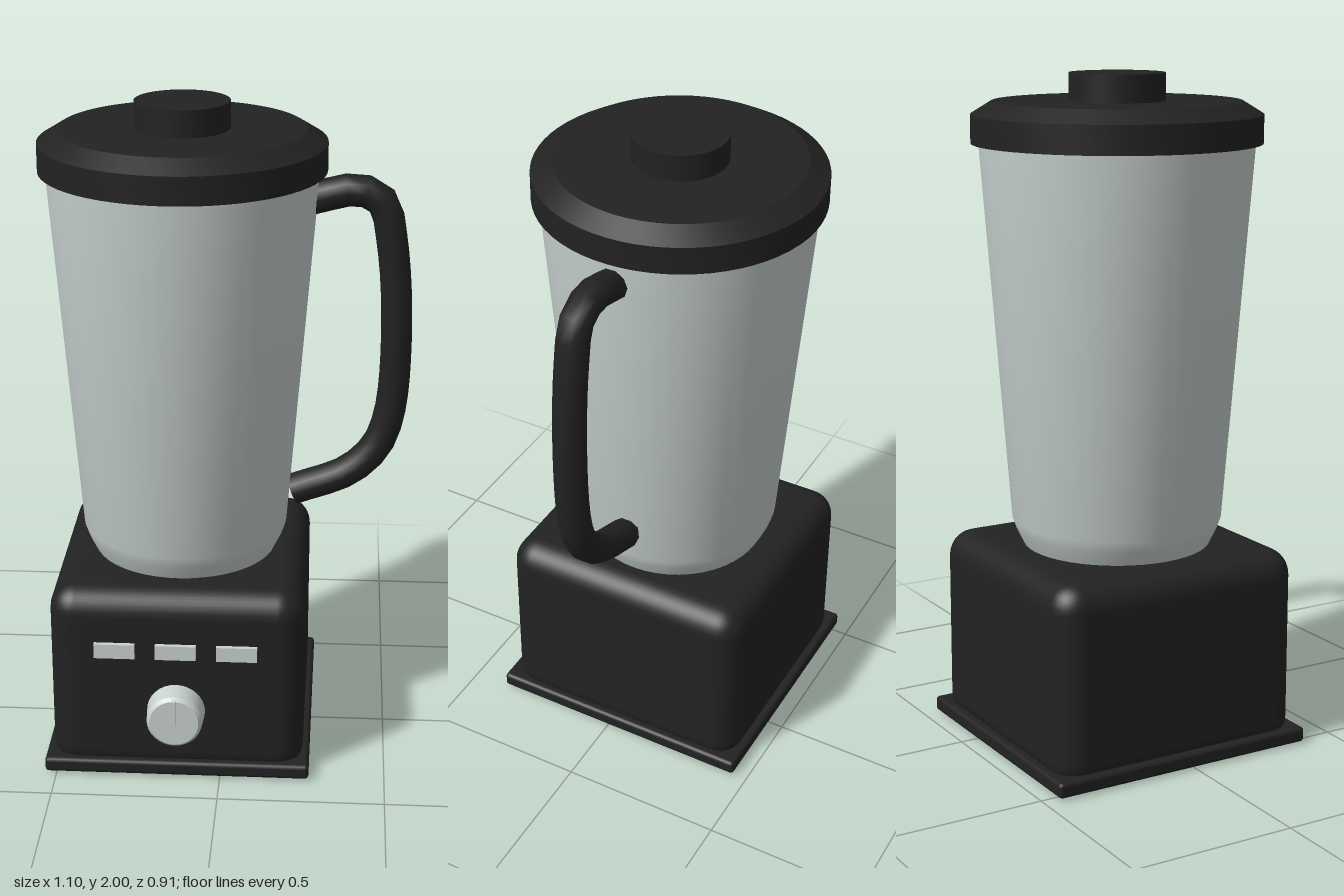
import * as THREE from 'three';
import { RoundedBoxGeometry } from 'three/addons/geometries/RoundedBoxGeometry.js';
import { toCreasedNormals } from 'three/addons/utils/BufferGeometryUtils.js';

const CX = -0.132, CZ = -0.034; // axis of the jar and base

export function createModel() {
  const model = new THREE.Group();
  const black = new THREE.MeshStandardMaterial({ color: 0x222222 });
  black.name = 'black plastic';
  const silver = new THREE.MeshStandardMaterial({ color: 0xc8d2d0 });
  silver.name = 'pale silver';

  const add = (name, geometry, material, x, y, z) => {
    const mesh = new THREE.Mesh(geometry, material);
    mesh.name = name;
    mesh.position.set(x, y, z);
    model.add(mesh);
    return mesh;
  };
  const lathe = (points, segments = 48) => toCreasedNormals(
    new THREE.LatheGeometry(points.map(([r, y]) => new THREE.Vector2(r, y)), segments), 0.5);

  // Motor base and foot plate
  add('motorBase', new RoundedBoxGeometry(0.765, 0.605, 0.805, 4, 0.08), black, CX, 0.3075, CZ);
  add('footPlate', new RoundedBoxGeometry(0.805, 0.046, 0.845, 2, 0.012), black, CX, 0.033, CZ);

  // Tapered jar
  add('jar', lathe([[0, 0.59], [0.27, 0.59], [0.28, 0.61], [0.302, 0.655], [0.314, 0.69],
    [0.402, 1.81], [0, 1.81]]), silver, CX, 0, CZ);

  // Lid with chamfered rim and filler cap
  add('lid', lathe([[0, 1.8], [0.423, 1.8], [0.423, 1.883], [0.363, 1.92], [0, 1.92]], 64), black, CX, 0, CZ);
  add('lidCap', new THREE.CylinderGeometry(0.14, 0.14, 0.09, 48), black, CX, 1.955, CZ);

  // Handle swept along a curve, closed at both ends
  const path = new THREE.CatmullRomCurve3([
    [0.245, 1.715], [0.38, 1.743], [0.45, 1.71], [0.484, 1.58], [0.504, 1.3],
    [0.49, 1.05], [0.452, 0.94], [0.37, 0.858], [0.2, 0.79],
  ].map(([x, y]) => new THREE.Vector3(x, y, 0)));
  add('handle', new THREE.TubeGeometry(path, 24, 0.048, 10), black, 0, 0, CZ);
  for (const t of [0, 1]) {
    const p = path.getPointAt(t);
    const out = path.getTangentAt(t).multiplyScalar(t ? 1 : -1);
    const cap = add('handleEnd', new THREE.CircleGeometry(0.048, 10), black, p.x, p.y, CZ);
    cap.quaternion.setFromUnitVectors(new THREE.Vector3(0, 0, 1), out);
  }

  // Row of push buttons
  for (const i of [-1, 0, 1]) {
    add('button', new THREE.BoxGeometry(0.122, 0.046, 0.03), silver, CX + i * 0.183, 0.428, 0.368);
  }

  // Speed dial with pointer
  const dial = add('speedDial', lathe([[0, 0], [0.088, 0], [0.083, 0.07], [0.073, 0.082], [0, 0.082]], 32),
    silver, CX, 0.227, 0.364);
  dial.rotation.x = Math.PI / 2;
  add('dialPointer', new THREE.BoxGeometry(0.01, 0.08, 0.016), silver, CX, 0.263, 0.449);

  return model;
}
